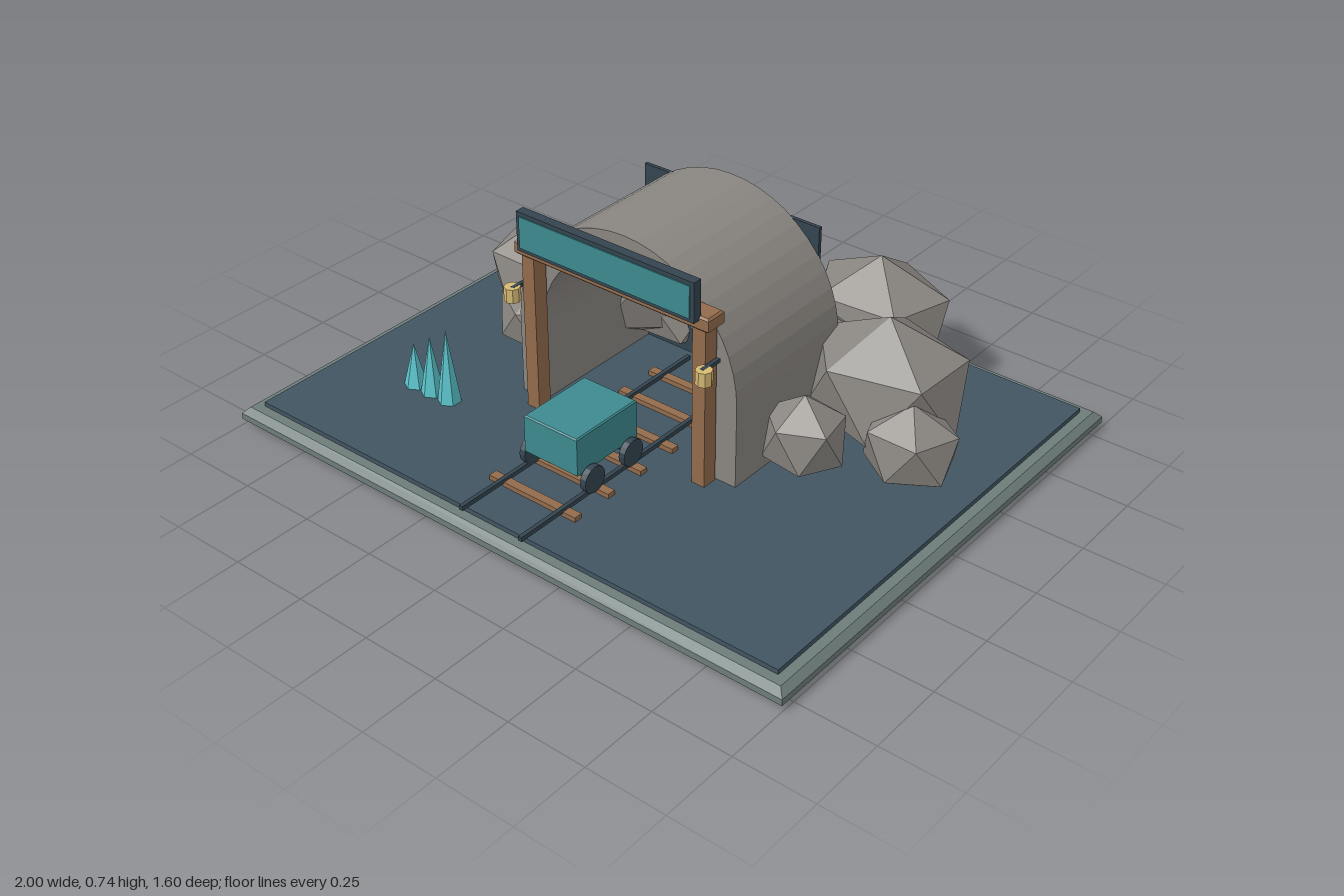
import * as THREE from 'three';

const mat = (color, extra = {}) => new THREE.MeshStandardMaterial({ color, flatShading: true, ...extra });
const M = {
  rim: mat(0x6e7d7a), ground: mat(0x425562), stone: mat(0x8a8681), wood: mat(0x926b4c),
  dark: mat(0x34444f), teal: mat(0x3d8a8f), gold: mat(0xd6ba74), crystal: mat(0x5cc4cc),
};

export function createModel() {
  const model = new THREE.Group();
  model.name = 'mineEntrance';

  const add = (name, geometry, material, x, y, z, parent = model) => {
    const mesh = new THREE.Mesh(geometry, material);
    mesh.name = name;
    mesh.position.set(x, y, z);
    parent.add(mesh);
    return mesh;
  };
  const box = (name, material, w, h, d, x, y, z, parent) =>
    add(name, new THREE.BoxGeometry(w, h, d), material, x, y, z, parent);

  // Box with chamfered edges, lying flat (bevel c on every edge)
  const chamferBox = (name, material, w, h, d, c, x, y, z, parent) => {
    const a = w / 2 - c, b = d / 2 - c;
    const s = new THREE.Shape([[-a, -b], [a, -b], [a, b], [-a, b]].map(p => new THREE.Vector2(...p)));
    const g = new THREE.ExtrudeGeometry(s, {
      depth: h - 2 * c, bevelSize: c, bevelThickness: c, bevelSegments: 1,
    });
    g.translate(0, 0, c - h / 2);
    g.rotateX(-Math.PI / 2);
    return add(name, g, material, x, y, z, parent);
  };

  // Base plate and ground
  chamferBox('basePlate', M.rim, 2, 0.06, 1.6, 0.02, 0, 0.03, 0);
  box('ground', M.ground, 1.9, 0.03, 1.5, 0, 0.06, 0);

  // Vaulted tunnel: outer and inner arch in one outline
  const spring = 0.34, outer = 0.4, inner = 0.31, floor = 0.075;
  const arch = new THREE.Shape();
  arch.moveTo(outer, floor);
  arch.lineTo(outer, spring);
  arch.absarc(0, spring, outer, 0, Math.PI, false);
  arch.lineTo(-outer, floor);
  arch.lineTo(-inner, floor);
  arch.lineTo(-inner, spring);
  arch.absarc(0, spring, inner, Math.PI, 0, true);
  arch.lineTo(inner, floor);
  arch.closePath();
  add('tunnelVault', new THREE.ExtrudeGeometry(arch, { depth: 0.48, bevelEnabled: false, curveSegments: 12 }),
    M.stone, 0, 0, -0.27);
  box('tunnelBackPanel', M.dark, 0.64, 0.595, 0.012, 0, 0.3725, -0.274);

  // Rocks: x, z, top, half width, half depth, yaw
  const rocks = new THREE.Group();
  rocks.name = 'rocks';
  model.add(rocks);
  const rockGeometry = new THREE.IcosahedronGeometry(1, 0);
  rockGeometry.rotateZ(-Math.atan(2 / (1 + Math.sqrt(5))));   // point upwards
  [
    [-0.73, -0.22, 0.35, 0.14, 0.14, 0.3], [-0.54, -0.03, 0.29, 0.14, 0.11, 0.9],
    [-0.41, -0.28, 0.44, 0.21, 0.17, 0.5], [-0.48, -0.55, 0.31, 0.14, 0.12, 1.2],
    [-0.2, -0.59, 0.38, 0.19, 0.16, 0.2], [0.04, -0.56, 0.29, 0.1, 0.135, 0.7],
    [0.325, -0.595, 0.44, 0.215, 0.175, 0.4], [0.5, -0.5, 0.29, 0.11, 0.1, 0.1],
    [0.57, -0.275, 0.47, 0.235, 0.195, 0.6], [0.74, -0.15, 0.31, 0.135, 0.12, 0.3],
    [0.48, 0, 0.31, 0.12, 0.11, 0.8], [0.21, -0.35, 0.37, 0.165, 0.14, 0.5],
    [-0.25, -0.34, 0.29, 0.135, 0.12, 1.0],
  ].forEach(([x, z, top, hx, hz, yaw]) => {
    const r = (top - 0.036) / 2;
    const g = rockGeometry.clone().rotateY(yaw).scale(hx / 0.87, r, hz / 0.87);
    add('rock', g, M.stone, x, top - r, z, rocks);
  });

  // Timber portal with lanterns
  const portal = new THREE.Group();
  portal.name = 'portal';
  model.add(portal);
  for (const side of [-1, 1]) {
    box('post', M.wood, 0.045, 0.52, 0.05, side * 0.31, 0.335, 0.24, portal);
    box('lanternArm', M.dark, 0.012, 0.012, 0.075, side * 0.345, 0.482, 0.26, portal);
    add('lantern', new THREE.CylinderGeometry(0.025, 0.025, 0.045, 8), M.gold, side * 0.35, 0.465, 0.292, portal);
  }
  chamferBox('beam', M.wood, 0.7, 0.045, 0.07, 0.006, 0, 0.61, 0.24, portal);

  // Blank sign board above the beam
  box('signBoard', M.dark, 0.635, 0.125, 0.03, 0, 0.682, 0.282, portal);
  box('signPanel', M.teal, 0.61, 0.1, 0.008, 0, 0.682, 0.297, portal);

  // Track
  const track = new THREE.Group();
  track.name = 'track';
  model.add(track);
  for (const x of [-0.11, 0.11]) box('rail', M.dark, 0.013, 0.014, 1, x, 0.093, 0.28, track);
  for (let i = 0; i < 6; i++) box('sleeper', M.wood, 0.32, 0.016, 0.028, 0, 0.082, 0.6 - i * 0.14, track);

  // Mine cart
  const cart = new THREE.Group();
  cart.name = 'mineCart';
  model.add(cart);
  chamferBox('cartBody', M.teal, 0.195, 0.125, 0.255, 0.004, 0, 0.212, 0.402, cart);
  for (const z of [0.32, 0.485]) {
    const axle = add('axle', new THREE.CylinderGeometry(0.008, 0.008, 0.22, 8), M.dark, 0, 0.13, z, cart);
    axle.rotation.z = Math.PI / 2;
    for (const x of [-0.113, 0.113]) {
      const wheel = add('wheel', new THREE.CylinderGeometry(0.042, 0.042, 0.02, 16), M.dark, x, 0.13, z, cart);
      wheel.rotation.z = Math.PI / 2;
    }
  }

  // Row of crystals, growing towards the portal
  for (let i = 0; i < 3; i++) {
    const h = 0.145 + i * 0.05;
    add('crystal', new THREE.ConeGeometry(0.037, h, 6), M.crystal, -0.67 + i * 0.07, 0.075 + h / 2, 0.395);
  }

  return model;
}
